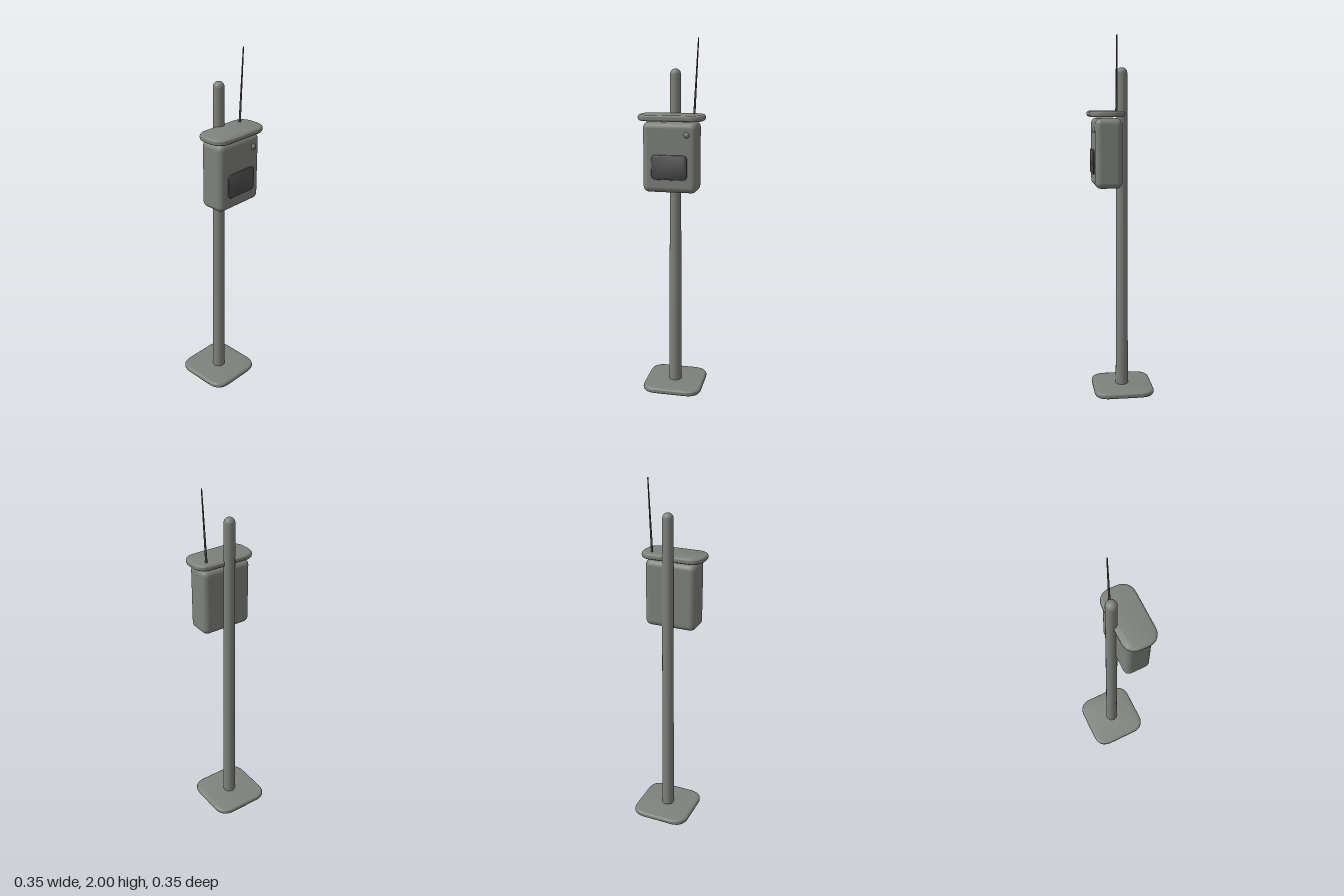
import * as THREE from 'three';
import { toCreasedNormals } from 'three/addons/utils/BufferGeometryUtils.js';
import { RoundedBoxGeometry } from 'three/addons/geometries/RoundedBoxGeometry.js';

const POLE_Z = -0.008;

function material(name, color) {
  const m = new THREE.MeshStandardMaterial({ color });
  m.name = name;
  return m;
}

// Soft-cornered slab, centred, with its thickness along z and a rounded rim
function slab(width, height, depth, corner, bevel) {
  const w = width / 2 - bevel, h = height / 2 - bevel, c = corner;
  const s = new THREE.Shape();
  s.moveTo(-w + c, -h);
  s.lineTo(w - c, -h);
  s.quadraticCurveTo(w, -h, w, -h + c);
  s.lineTo(w, h - c);
  s.quadraticCurveTo(w, h, w - c, h);
  s.lineTo(-w + c, h);
  s.quadraticCurveTo(-w, h, -w, h - c);
  s.lineTo(-w, -h + c);
  s.quadraticCurveTo(-w, -h, -w + c, -h);
  const geo = new THREE.ExtrudeGeometry(s, {
    depth: depth - 2 * bevel, bevelEnabled: true, bevelSize: bevel,
    bevelThickness: bevel, bevelSegments: 5, curveSegments: 10,
  });
  geo.center();
  return toCreasedNormals(geo, 0.8);
}

export function createModel() {
  const model = new THREE.Group();
  const grey = material('weathered grey', 0x7e817c);
  const dark = material('dark panel', 0x4a4c4a);

  const add = (name, geo, mat, x, y, z) => {
    const mesh = new THREE.Mesh(geo, mat);
    mesh.name = name;
    mesh.position.set(x, y, z);
    model.add(mesh);
    return mesh;
  };

  // Slightly tapered pole with domed ends
  const rBottom = 0.035, rTop = 0.029, top = 1.845, profile = [];
  for (let i = 0; i <= 8; i++) {
    const a = (i / 8) * Math.PI / 2;
    profile.push(new THREE.Vector2(rBottom * Math.sin(a), 0.005 + rBottom * (1 - Math.cos(a))));
  }
  for (let i = 0; i <= 8; i++) {
    const a = (i / 8) * Math.PI / 2;
    profile.push(new THREE.Vector2(rTop * Math.cos(a), top - rTop * (1 - Math.sin(a))));
  }
  add('pole', new THREE.LatheGeometry(profile, 32), grey, 0, 0, POLE_Z);

  // Ground plate and rain roof
  const base = slab(0.334, 0.334, 0.032, 0.07, 0.014);
  base.rotateX(-Math.PI / 2);
  add('basePlate', base, grey, 0, 0.06, -0.01);

  const roof = slab(0.352, 0.184, 0.032, 0.065, 0.014);
  roof.rotateX(-Math.PI / 2);
  add('roof', roof, grey, 0, 1.6, 0.083);

  // Instrument housing
  add('housing', new RoundedBoxGeometry(0.29, 0.37, 0.145, 6, 0.032), grey, 0, 1.393, 0.077);

  // Front display and knob
  add('display', slab(0.19, 0.13, 0.012, 0.022, 0.003), dark, 0, 1.345, 0.152);
  add('knob', new THREE.SphereGeometry(0.015, 20, 14), grey, 0.092, 1.515, 0.148);

  // Thin leaning antenna
  const from = new THREE.Vector3(0.11, 1.605, 0.036);
  const to = new THREE.Vector3(0.13, 2.0, 0.036);
  const dir = to.clone().sub(from);
  const mid = from.clone().add(to).multiplyScalar(0.5);
  const antenna = add('antenna', new THREE.CylinderGeometry(0.003, 0.006, dir.length(), 12),
    dark, mid.x, mid.y, mid.z);
  antenna.quaternion.setFromUnitVectors(new THREE.Vector3(0, 1, 0), dir.normalize());

  return model;
}
